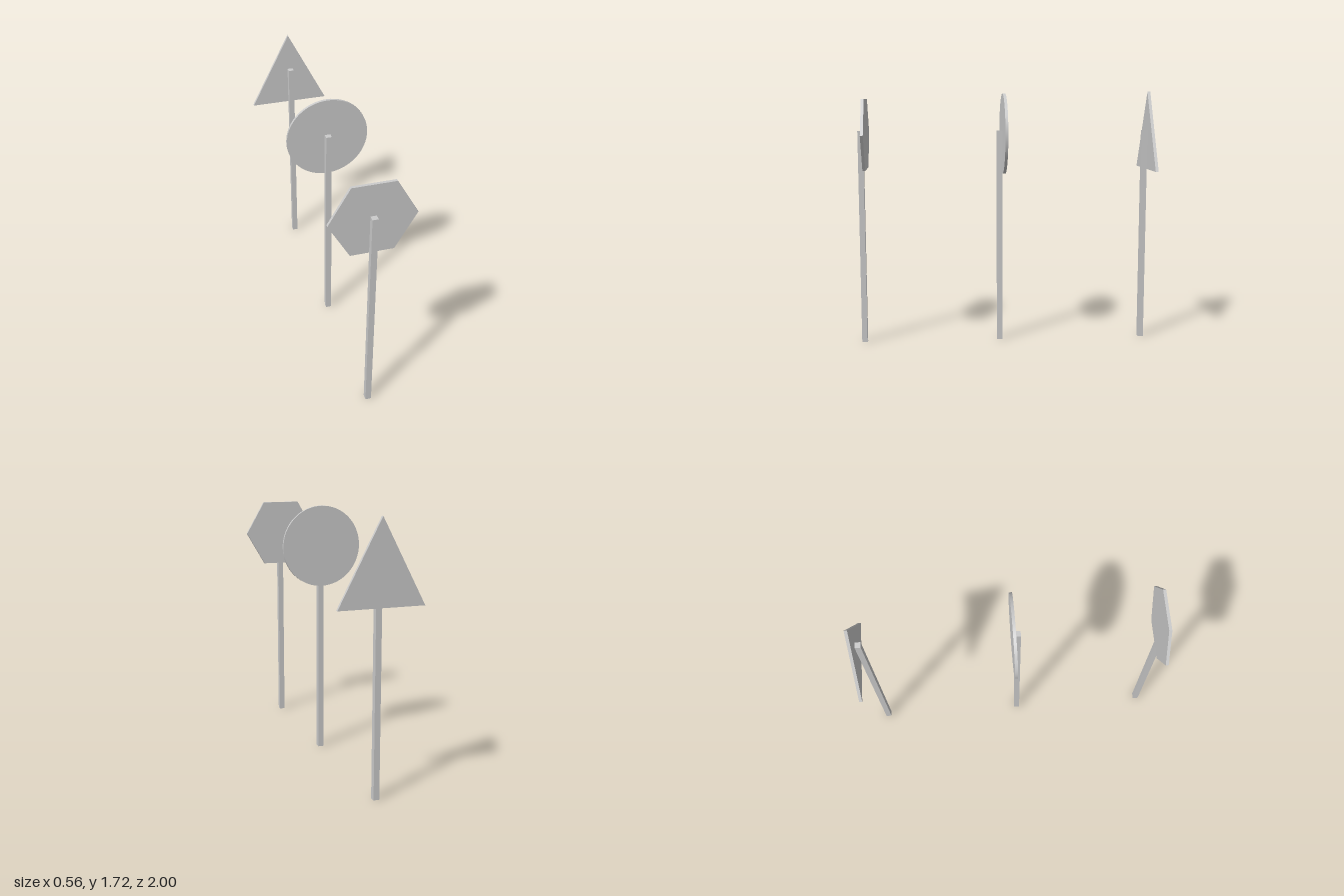
import * as THREE from 'three';

const POST = 0.038, HEIGHT = 1.46, X = 0.005;

// Flat panel extruded from an outline in x and y
function panel(points, depth) {
  const shape = new THREE.Shape(points.map(([x, y]) => new THREE.Vector2(x, y)));
  return new THREE.ExtrudeGeometry(shape, { depth, bevelEnabled: false });
}

// Round or hexagonal plate, facing z, with a corner on the x axis
function disc(sides, radius, depth) {
  return new THREE.CylinderGeometry(radius, radius, depth, sides)
    .rotateX(Math.PI / 2)
    .rotateZ(Math.PI / 2)
    .translate(X, 1.438, depth / 2);
}

export function createModel() {
  const model = new THREE.Group();
  const smooth = new THREE.MeshStandardMaterial({ color: 0xcccccc });
  const flat = new THREE.MeshStandardMaterial({ color: 0xcccccc, flatShading: true });

  // Each sign: plate behind, square post against its front; z is the plate's back
  const signs = [
    { name: 'hexagon', z: 0.943, depth: 0.019, geometry: disc(6, 0.272, 0.019), material: flat },
    { name: 'round', z: 0.004, depth: 0.019, geometry: disc(64, 0.272, 0.019), material: smooth },
    {
      name: 'triangle', z: -1, depth: 0.02, material: flat,
      geometry: panel([[-0.281, 1.192], [0.272, 1.192], [-0.004, 1.722]], 0.02),
    },
  ];

  for (const { name, z, depth, geometry, material } of signs) {
    const sign = new THREE.Group();
    sign.name = name + 'Sign';
    sign.position.z = z;

    const plate = new THREE.Mesh(geometry, material);
    plate.name = name + 'Plate';

    const post = new THREE.Mesh(new THREE.BoxGeometry(POST, HEIGHT, POST), flat);
    post.name = name + 'Post';
    post.position.set(X, HEIGHT / 2, depth + POST / 2);

    sign.add(plate, post);
    model.add(sign);
  }
  return model;
}
